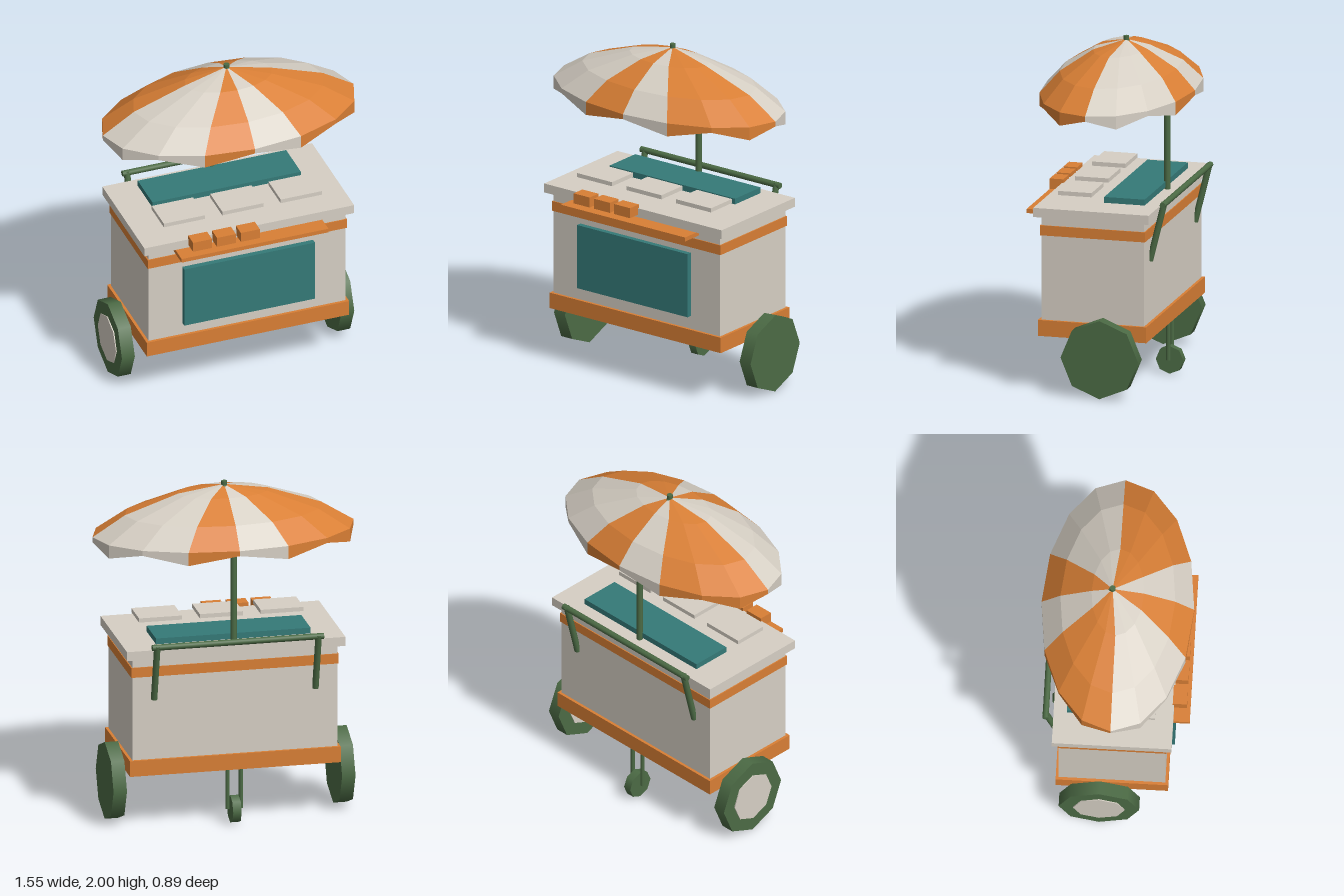
import * as THREE from 'three';

const mat = (name, color) => {
  const m = new THREE.MeshStandardMaterial({ color, side: THREE.DoubleSide });
  m.name = name;
  return m;
};

export function createModel() {
  const cream = mat('cream', 0xd6cfc4);
  const orange = mat('orange', 0xd97f35);
  const teal = mat('teal', 0x357a78);
  const green = mat('green', 0x4c6b45);
  const model = new THREE.Group();
  model.name = 'vendingCart';

  const add = (name, geometry, material) => {
    const mesh = new THREE.Mesh(geometry, material);
    mesh.name = name;
    model.add(mesh);
    return mesh;
  };
  // Box given by its extents on each axis
  const box = (name, [x0, x1], [y0, y1], [z0, z1], material) =>
    add(name, new THREE.BoxGeometry(x1 - x0, y1 - y0, z1 - z0), material)
      .position.set((x0 + x1) / 2, (y0 + y1) / 2, (z0 + z1) / 2);
  // Round bar between two points
  const bar = (name, from, to, r, material, sides = 10) => {
    const a = new THREE.Vector3(...from), b = new THREE.Vector3(...to);
    const mesh = add(name, new THREE.CylinderGeometry(r, r, a.distanceTo(b), sides), material);
    mesh.position.copy(a).lerp(b, 0.5);
    mesh.quaternion.setFromUnitVectors(new THREE.Vector3(0, 1, 0), b.sub(a).normalize());
  };
  // Disc whose axis runs along x
  const disc = (name, x, y, z, r, width, material) => {
    const g = new THREE.CylinderGeometry(r, r, width, 8).rotateZ(Math.PI / 2);
    add(name, g, material).position.set(x, y, z);
  };

  // Cabinet
  box('cabinet', [-0.61, 0.61], [0.35, 1.05], [-0.31, 0.31], cream);
  box('baseBand', [-0.627, 0.627], [0.33, 0.425], [-0.327, 0.327], orange);
  box('upperBand', [-0.617, 0.617], [0.93, 0.99], [-0.316, 0.316], orange);
  box('counter', [-0.65, 0.65], [1.045, 1.1], [-0.348, 0.348], cream);
  box('frontPanel', [-0.405, 0.405], [0.51, 0.9], [0.322, 0.354], teal);

  // Counter fittings
  box('servingShelf', [-0.455, 0.455], [1.015, 1.04], [0.307, 0.443], orange);
  box('lid', [-0.46, 0.46], [1.11, 1.145], [-0.27, -0.026], teal);
  for (let i = 0; i < 3; i++) {
    const x = -0.376 + i * 0.148;
    box('smallBox', [x, x + 0.117], [1.06, 1.122], [0.34, 0.423], orange);
    const c = (i - 1) * 0.362;
    box('tray', [c - 0.128, c + 0.128], [1.145, 1.17], [0.042, 0.243], cream);
  }

  // Main wheels, each with a hub plate on its -x face
  for (const s of [-1, 1]) {
    disc('wheel', s * 0.68, 0.234, -0.07, 0.234, 0.08, green);
    disc('hubPlate', s * 0.68 - 0.042, 0.234, -0.07, 0.15, 0.008, cream);
  }

  // Rear caster
  disc('caster', 0, 0.083, -0.297, 0.083, 0.05, green);
  for (const s of [-1, 1])
    bar('casterFork', [s * 0.04, 0.085, -0.294], [s * 0.04, 0.34, -0.294], 0.013, green, 8);

  // Push handle
  bar('handleBar', [-0.51, 1.13, -0.392], [0.51, 1.13, -0.392], 0.018, green);
  for (const s of [-1, 1])
    bar('handleArm', [s * 0.48, 1.14, -0.395], [s * 0.48, 0.79, -0.308], 0.019, green);

  // Umbrella pole, bent towards the apex
  bar('pole', [0, 1.08, -0.277], [0, 1.7, -0.277], 0.019, green);
  bar('poleBend', [0, 1.692, -0.277], [0, 1.965, -0.035], 0.018, green);
  bar('finial', [0, 1.95, -0.03], [0, 2.0, -0.03], 0.017, green);

  // Umbrella canopy: oval rings of 16 sides, ending in a scalloped valance
  const SIDES = 16;
  const rings = [[0, 1.98], [0.345, 1.93], [0.753, 1.82], [1, 1.7], [1, 1.67]];
  const point = (i, j) => {
    const t = (j % SIDES) * Math.PI * 2 / SIDES, [k, y] = rings[i];
    if (i === 0) return [0, y, -0.03];
    const drop = i === 4 && j % 2 ? 0.05 : 0;
    return [Math.cos(t) * 0.777 * k, y - drop, Math.sin(t) * 0.444 * k];
  };
  // Stripe colour of each sector, going round from +x towards +z
  const stripes = 'ooocowwwooowowww'.split('');
  stripes[3] = 'w';
  stripes[4] = 'o';
  stripes.splice(8, 8, 'o', 'o', 'o', 'w', 'o', 'w', 'w', 'w');
  const faces = { o: [], w: [] };
  for (let j = 0; j < SIDES; j++) {
    for (let i = 0; i < rings.length - 1; i++) {
      const a = point(i, j), b = point(i, j + 1), c = point(i + 1, j), d = point(i + 1, j + 1);
      const out = faces[stripes[j]];
      out.push(...a, ...d, ...c);
      if (i > 0) out.push(...a, ...b, ...d);
    }
  }
  for (const [key, name, material] of [['o', 'canopyOrangeStripes', orange], ['w', 'canopyCreamStripes', cream]]) {
    const g = new THREE.BufferGeometry();
    g.setAttribute('position', new THREE.Float32BufferAttribute(faces[key], 3));
    g.computeVertexNormals();
    add(name, g, material);
  }
  return model;
}
